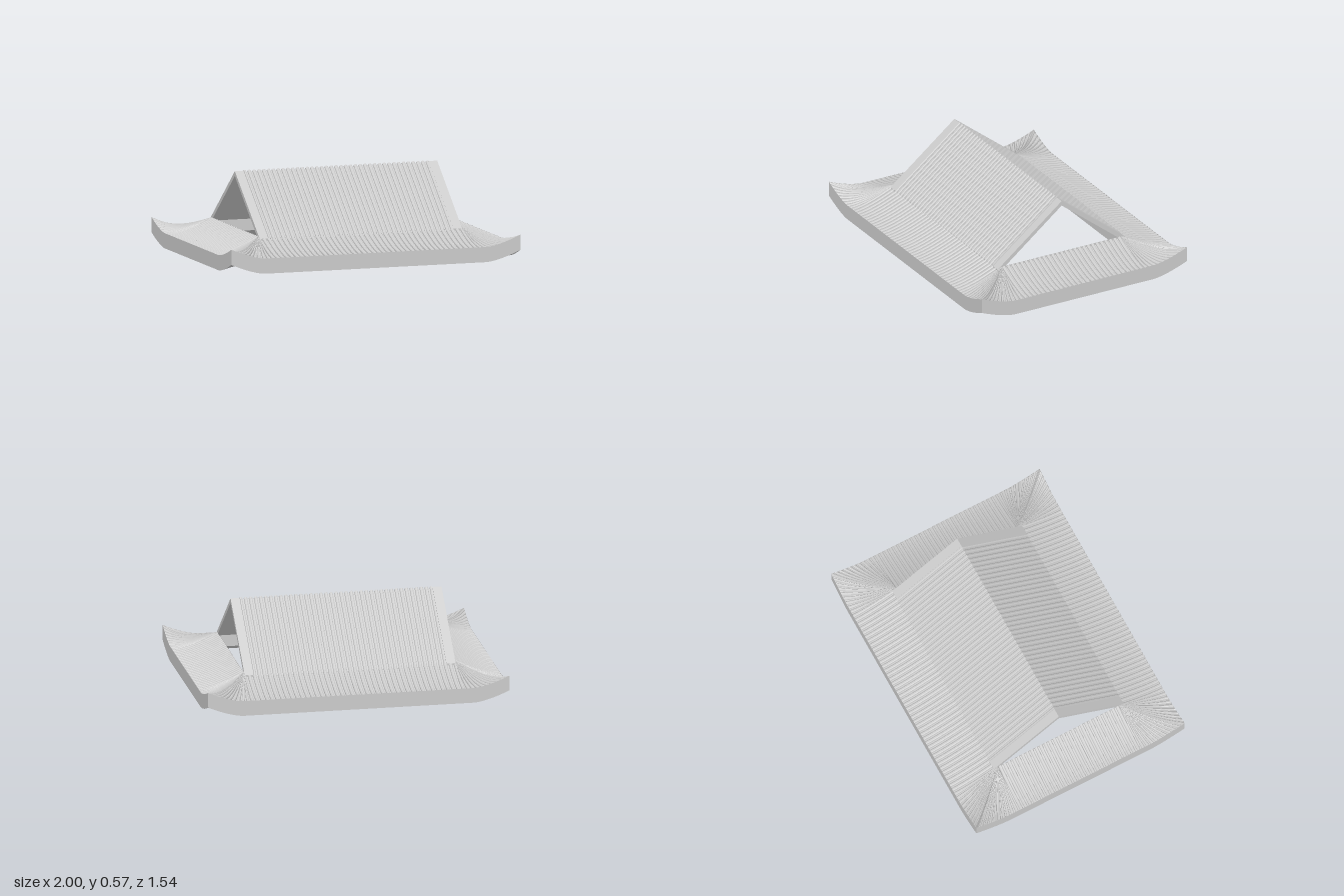
import * as THREE from 'three';

const material = new THREE.MeshStandardMaterial({ color: 0xcccccc, side: THREE.DoubleSide });
const THICK = 0.1;
const PERIOD = 1 / 30;
const RIDGE = 0.014;

// Half-round tile section: [fraction of the period, relative height]
const BARREL = [[-0.36, 0], [-0.31, 0.65], [-0.13, 1], [0.13, 1], [0.31, 0.65], [0.36, 0]];

const steps = (n, from = 0, to = 1) =>
  Array.from({ length: n + 1 }, (_, i) => from + ((to - from) * i) / n);

// Columns of a tiled slope: [position along the eave, depth below the ridge tops]
function tileColumns(half) {
  const columns = [[-half, RIDGE]];
  const count = Math.ceil(half / PERIOD);
  for (let k = -count; k <= count; k++)
    for (const [f, h] of BARREL) {
      const a = (k + f) * PERIOD;
      if (Math.abs(a) < half) columns.push([a, RIDGE * (1 - h)]);
    }
  columns.push([half, RIDGE]);
  return columns;
}

// Faceted surface from a point rule p(u, v) over lists of u and v
function grid(name, us, vs, p) {
  const pos = [], index = [], n = vs.length;
  for (const u of us) for (const v of vs) pos.push(...p(u, v));
  for (let i = 0; i < us.length - 1; i++)
    for (let j = 0; j < n - 1; j++) {
      const a = i * n + j, b = a + n;
      index.push(a, a + 1, b, b, a + 1, b + 1);
    }
  const indexed = new THREE.BufferGeometry();
  indexed.setAttribute('position', new THREE.Float32BufferAttribute(pos, 3));
  indexed.setIndex(index);
  const g = indexed.toNonIndexed();
  g.computeVertexNormals();
  const mesh = new THREE.Mesh(g, material);
  mesh.name = name;
  return mesh;
}

// One side of the curved skirt roof, facing +z; its ends fan out from the inner corners
function eaveSide(name, half, innerHalf, outer, inner) {
  const side = new THREE.Group();
  side.name = name;
  const corner = (a) => Math.max(0, (Math.abs(a) - innerHalf) / (half - innerHalf));

  // Point at position a on the eave and t from inner edge to eave, lowered by drop
  const point = (a, t, drop) => {
    const start = THREE.MathUtils.clamp(a, -innerHalf, innerHalf);
    const lift = 0.07 * Math.max(0, (corner(a) * t - 0.22) / 0.78) ** 1.5 * t;
    const y = 0.1 + 0.1 * (1 - t) ** 1.5 + lift - drop;
    return [start + (a - start) * t, y, inner + (outer - inner) * t];
  };

  const along = steps(80, -half, half);
  side.add(
    // ridges flatten out where the fan closes
    grid('tiledSlope', tileColumns(half), steps(8), ([a, d], t) =>
      point(a, t, corner(a) > 0 ? d * Math.min(1, 2 * t) : d)),
    grid('fascia', along, [0, THICK], (a, drop) => point(a, 1, drop)),
    grid('soffit', along, [1, 0.5, 0], (a, t) => point(a, t, THICK)),
    grid('innerWall', [-innerHalf, innerHalf], [THICK, 0], (a, drop) => point(a, 0, drop))
  );
  return side;
}

// Inverted V section of the upper roof, extruded along x
function gable(name, x0, x1, top) {
  const s = new THREE.Shape([
    [0, top], [0.48, top - 0.379], [0.48, 0.153], [0, 0.533], [-0.48, 0.153], [-0.48, top - 0.379],
  ].map(([x, y]) => new THREE.Vector2(x, y)));
  const g = new THREE.ExtrudeGeometry(s, { depth: x1 - x0, bevelEnabled: false });
  g.rotateY(Math.PI / 2);
  g.translate(x0, 0, 0);
  const mesh = new THREE.Mesh(g, material);
  mesh.name = name;
  return mesh;
}

export function createModel() {
  const roof = new THREE.Group();
  roof.name = 'roof';

  // Skirt roof around the open middle
  ['frontEave', 'leftEave', 'backEave', 'rightEave'].forEach((name, turn) => {
    const side = turn % 2
      ? eaveSide(name, 0.77, 0.45, 1, 0.7)
      : eaveSide(name, 1, 0.7, 0.77, 0.45);
    side.rotation.y = (turn * Math.PI) / 2;
    roof.add(side);
  });

  // Upper gable roof: core slab with plain bands at both ends
  roof.add(
    gable('gableCore', -0.64, 0.64, 0.553),
    gable('leftGableBand', 0.64, 0.7, 0.565),
    gable('rightGableBand', -0.7, -0.64, 0.565)
  );

  // Half-round tiles on both upper slopes
  for (const [name, turn] of [['frontTiles', 0], ['backTiles', Math.PI]]) {
    const tiles = grid(name, tileColumns(0.64), [0, 1], ([x, d], v) =>
      [x, 0.57 - d - 0.379 * v, 0.48 * v]);
    tiles.rotation.y = turn;
    roof.add(tiles);
  }
  return roof;
}
